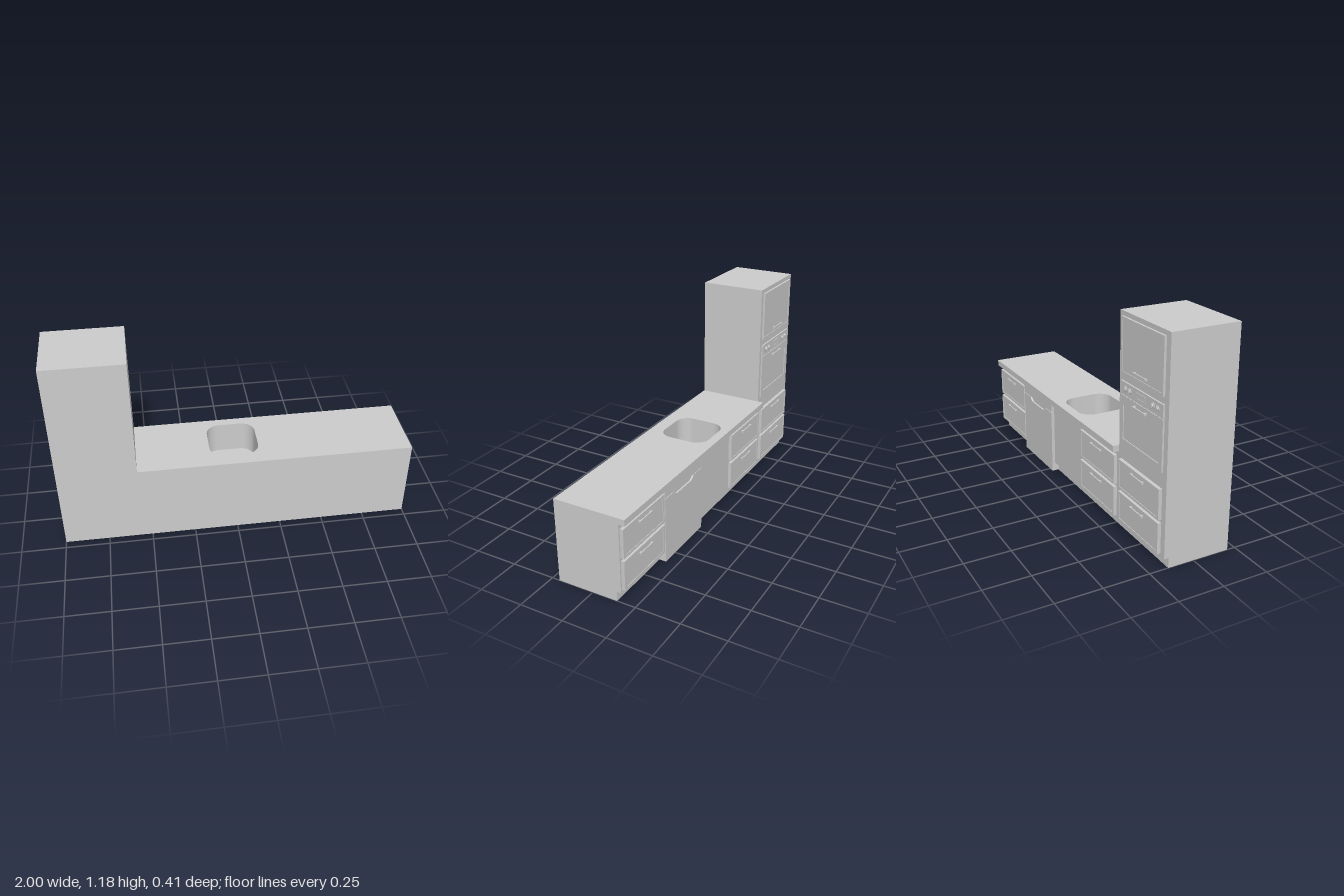
import * as THREE from 'three';
import { toCreasedNormals } from 'three/addons/utils/BufferGeometryUtils.js';

const BACK = 0.205, FACE = -0.17; // wall side and cabinet face
const material = new THREE.MeshStandardMaterial({ color: 0xcccccc });

function add(parent, name, geometry) {
  const mesh = new THREE.Mesh(geometry, material);
  mesh.name = name;
  parent.add(mesh);
  return mesh;
}

// Box given by its limits
function box(parent, name, x0, x1, y0, y1, z0, z1) {
  const g = new THREE.BoxGeometry(x1 - x0, y1 - y0, z1 - z0);
  g.translate((x0 + x1) / 2, (y0 + y1) / 2, (z0 + z1) / 2);
  return add(parent, name, g);
}

function group(parent, name) {
  const g = new THREE.Group();
  g.name = name;
  parent.add(g);
  return g;
}

function rectangle(x0, x1, y0, y1, Type = THREE.Shape) {
  return new Type([[x0, y0], [x1, y0], [x1, y1], [x0, y1]].map(p => new THREE.Vector2(...p)));
}

function roundedHole(x0, x1, y0, y1, r) {
  const p = new THREE.Path();
  p.absarc(x1 - r, y1 - r, r, 0, Math.PI / 2);
  p.absarc(x0 + r, y1 - r, r, Math.PI / 2, Math.PI);
  p.absarc(x0 + r, y0 + r, r, Math.PI, Math.PI * 1.5);
  p.absarc(x1 - r, y0 + r, r, Math.PI * 1.5, Math.PI * 2);
  p.closePath();
  return p;
}

// Horizontal slab with the sink opening cut through
function sinkSlab(parent, name, front, y0, y1) {
  const shape = rectangle(-0.56, 1, -BACK, -front);
  shape.holes.push(roundedHole(-0.143, 0.137, -0.128, 0.153, 0.075));
  const g = new THREE.ExtrudeGeometry(shape, { depth: y1 - y0, bevelEnabled: false, curveSegments: 10 });
  g.rotateX(-Math.PI / 2);
  g.translate(0, y0, 0);
  add(parent, name, toCreasedNormals(g, 0.6));
}

// Upright plate of a given thickness standing out of the plane z = back
function plate(parent, name, shape, back, depth) {
  const g = new THREE.ExtrudeGeometry(shape, { depth, bevelEnabled: false });
  g.translate(0, 0, back - depth);
  return add(parent, name, g);
}

function barHandle(parent, x, y, z, reach = 0.013) {
  const h = group(parent, 'barHandle');
  box(h, 'handleBar', x - 0.058, x + 0.058, y - 0.006, y + 0.006, z - reach, z - reach + 0.006);
  for (const s of [-1, 1])
    box(h, 'handlePost', x + s * 0.05 - 0.006, x + s * 0.05 + 0.006, y - 0.005, y + 0.005, z - reach + 0.005, z);
}

// Framed front with a shallow sunk panel and a bar handle
function framedFront(parent, name, x0, x1, y0, y1, depth, handleY) {
  const f = group(parent, name);
  const rim = 0.014, shape = rectangle(x0, x1, y0, y1);
  shape.holes.push(rectangle(x0 + rim, x1 - rim, y0 + rim, y1 - rim, THREE.Path));
  plate(f, 'frontFrame', shape, FACE, depth);
  box(f, 'frontPanel', x0 + rim, x1 - rim, y0 + rim, y1 - rim, FACE - depth + 0.003, FACE);
  barHandle(f, (x0 + x1) / 2, handleY, FACE - depth);
}

function drawerPair(parent, x0, x1) {
  framedFront(parent, 'lowerDrawer', x0, x1, 0.069, 0.235, 0.019, 0.207);
  framedFront(parent, 'upperDrawer', x0, x1, 0.251, 0.415, 0.019, 0.388);
}

function oven(parent, x0, x1) {
  const o = group(parent, 'oven'), mid = (x0 + x1) / 2;
  box(o, 'ovenBackPlate', x0, x1, 0.5, 0.836, FACE - 0.004, FACE);
  box(o, 'controlPanel', x0, x1, 0.772, 0.836, FACE - 0.009, FACE);

  // Door frame around a sunk window
  const door = rectangle(x0, x1, 0.5, 0.764);
  door.holes.push(rectangle(x0 + 0.026, x1 - 0.026, 0.535, 0.715, THREE.Path));
  plate(o, 'ovenDoor', door, FACE, 0.009);
  barHandle(o, mid, 0.742, FACE - 0.009, 0.018);

  // Vent bars between panel and door
  for (let i = 0; i < 12; i++) {
    const x = x0 + (i + 0.5) * (x1 - x0) / 12;
    box(o, 'ventBar', x - 0.004, x + 0.004, 0.764, 0.772, FACE - 0.008, FACE);
  }

  // Two knobs each side of the display
  for (const s of [-1, 1]) for (const d of [0.104, 0.144]) {
    const skirt = new THREE.CylinderGeometry(0.016, 0.016, 0.004, 24).rotateX(Math.PI / 2);
    add(o, 'knobSkirt', skirt).position.set(mid + s * d, 0.803, FACE - 0.011);
    const knob = new THREE.CylinderGeometry(0.011, 0.011, 0.009, 24).rotateX(Math.PI / 2);
    add(o, 'knob', knob).position.set(mid + s * d, 0.803, FACE - 0.0145);
    box(o, 'knobGrip', mid + s * d - 0.003, mid + s * d + 0.003, 0.793, 0.813, FACE - 0.02, FACE - 0.012);
  }
  box(o, 'display', mid - 0.04, mid + 0.04, 0.803, 0.82, FACE - 0.012, FACE);
  for (let i = -2; i <= 2; i++)
    box(o, 'button', mid + i * 0.018 - 0.004, mid + i * 0.018 + 0.004, 0.787, 0.794, FACE - 0.012, FACE);
}

function dishwasher(parent, x0, x1) {
  const d = group(parent, 'dishwasher'), mid = (x0 + x1) / 2;
  box(d, 'dishwasherBody', x0, x1, 0.004, 0.435, FACE - 0.008, -0.14);
  box(d, 'dishwasherControls', x0, x1, 0.383, 0.435, FACE - 0.018, FACE);
  // Door with a grip notch in its top edge
  const s = new THREE.Shape();
  s.moveTo(x0, 0.004);
  s.lineTo(x1, 0.004);
  s.lineTo(x1, 0.379);
  s.lineTo(mid + 0.105, 0.379);
  s.quadraticCurveTo(mid + 0.09, 0.356, mid + 0.065, 0.356);
  s.lineTo(mid - 0.065, 0.356);
  s.quadraticCurveTo(mid - 0.09, 0.356, mid - 0.105, 0.379);
  s.lineTo(x0, 0.379);
  s.closePath();
  plate(d, 'dishwasherDoor', s, FACE, 0.018);
}

export function createModel() {
  const kitchen = new THREE.Group();
  kitchen.name = 'kitchenUnit';

  // Recessed plinth under the whole run
  box(kitchen, 'plinth', -1, 1, 0, 0.055, -0.145, BACK);

  // Low run: cabinets, sink basin and worktop
  const low = group(kitchen, 'lowRun');
  box(low, 'baseCabinets', -0.56, 1, 0.055, 0.29, FACE, BACK);
  sinkSlab(low, 'sinkBasin', FACE, 0.29, 0.443);
  sinkSlab(low, 'worktop', -0.205, 0.443, 0.478);
  drawerPair(low, 0.61, 0.99);
  dishwasher(low, 0.21, 0.602);
  drawerPair(low, -0.54, -0.16);

  // Tall unit: drawers, oven and top cupboard
  const tall = group(kitchen, 'tallUnit');
  box(tall, 'tallCabinet', -1, -0.56, 0.055, 1.182, FACE, BACK);
  drawerPair(tall, -0.965, -0.585);
  oven(tall, -0.967, -0.583);
  framedFront(tall, 'topCupboardDoor', -0.965, -0.585, 0.874, 1.158, 0.012, 0.912);

  return kitchen;
}
